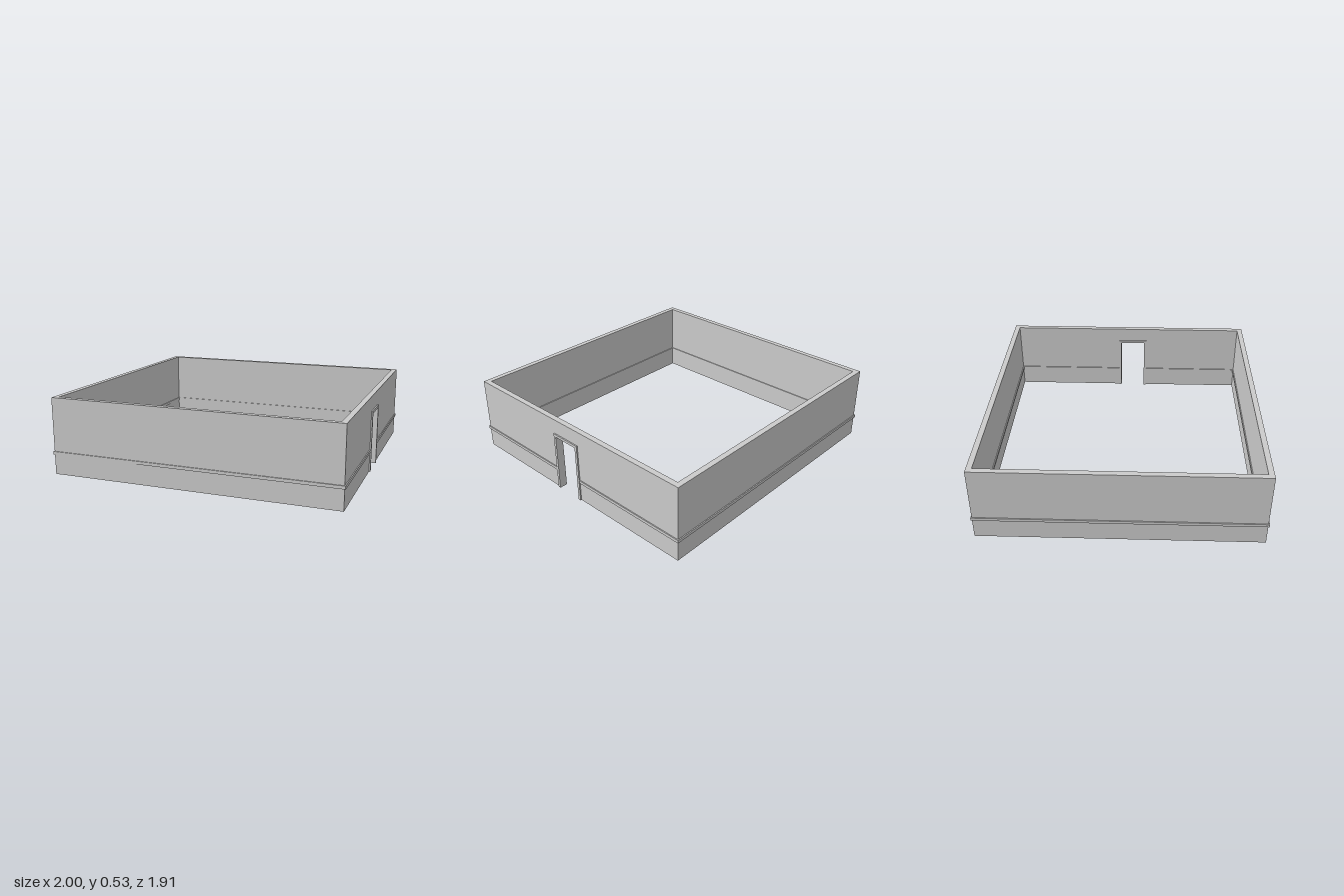
import * as THREE from 'three';

const HX = 0.989, HZ = 0.946;      // outer half sizes of the room
const WALL = 0.038, LIP = 0.007;   // wall thickness, projection of the trim
const HEIGHT = 0.53;
const DOOR = { z0: -0.073, z1: 0.156, top: 0.425, trim: 0.019 };

const grey = new THREE.MeshStandardMaterial({ color: 0xcccccc, flatShading: true });

// Plan outline running round the room, open at the doorway in the +x wall
function openRing(grow, y0, y1) {
  const ox = HX + grow, oz = HZ + grow;
  const ix = HX - WALL - grow, iz = HZ - WALL - grow;
  const plan = [
    [ox, DOOR.z1], [ox, oz], [-ox, oz], [-ox, -oz], [ox, -oz], [ox, DOOR.z0],
    [ix, DOOR.z0], [ix, -iz], [-ix, -iz], [-ix, iz], [ix, iz], [ix, DOOR.z1],
  ];
  const shape = new THREE.Shape(plan.map(([x, z]) => new THREE.Vector2(x, -z)));
  const geo = new THREE.ExtrudeGeometry(shape, { depth: y1 - y0, bevelEnabled: false });
  return geo.rotateX(-Math.PI / 2).translate(0, y0, 0);
}

// Upright doorway surround, lining the full depth of the wall
function doorSurround() {
  const { z0, z1, top, trim } = DOOR;
  const outline = [
    [z0, 0], [z0 + trim, 0], [z0 + trim, top - trim], [z1 - trim, top - trim],
    [z1 - trim, 0], [z1, 0], [z1, top], [z0, top],
  ];
  const shape = new THREE.Shape(outline.map(([z, y]) => new THREE.Vector2(-z, y)));
  const depth = WALL + 2 * (LIP + 0.002);
  const geo = new THREE.ExtrudeGeometry(shape, { depth, bevelEnabled: false });
  return geo.rotateY(Math.PI / 2).translate(HX - WALL - LIP - 0.002, 0, 0);
}

export function createModel() {
  const room = new THREE.Group();
  room.name = 'room';
  const add = (name, geo) => {
    const mesh = new THREE.Mesh(geo, grey);
    mesh.name = name;
    room.add(mesh);
  };

  add('walls', openRing(0, 0, HEIGHT));

  // Wall above the doorway
  const lintel = new THREE.BoxGeometry(WALL, HEIGHT - DOOR.top, DOOR.z1 - DOOR.z0);
  lintel.translate(HX - WALL / 2, (HEIGHT + DOOR.top) / 2, (DOOR.z0 + DOOR.z1) / 2);
  add('lintel', lintel);

  // Rail standing proud on both faces of the walls
  add('chairRail', openRing(LIP, 0.139, 0.16));
  add('doorFrame', doorSurround());

  // The plan sits very slightly off square
  room.rotation.y = -0.004;
  return room;
}
